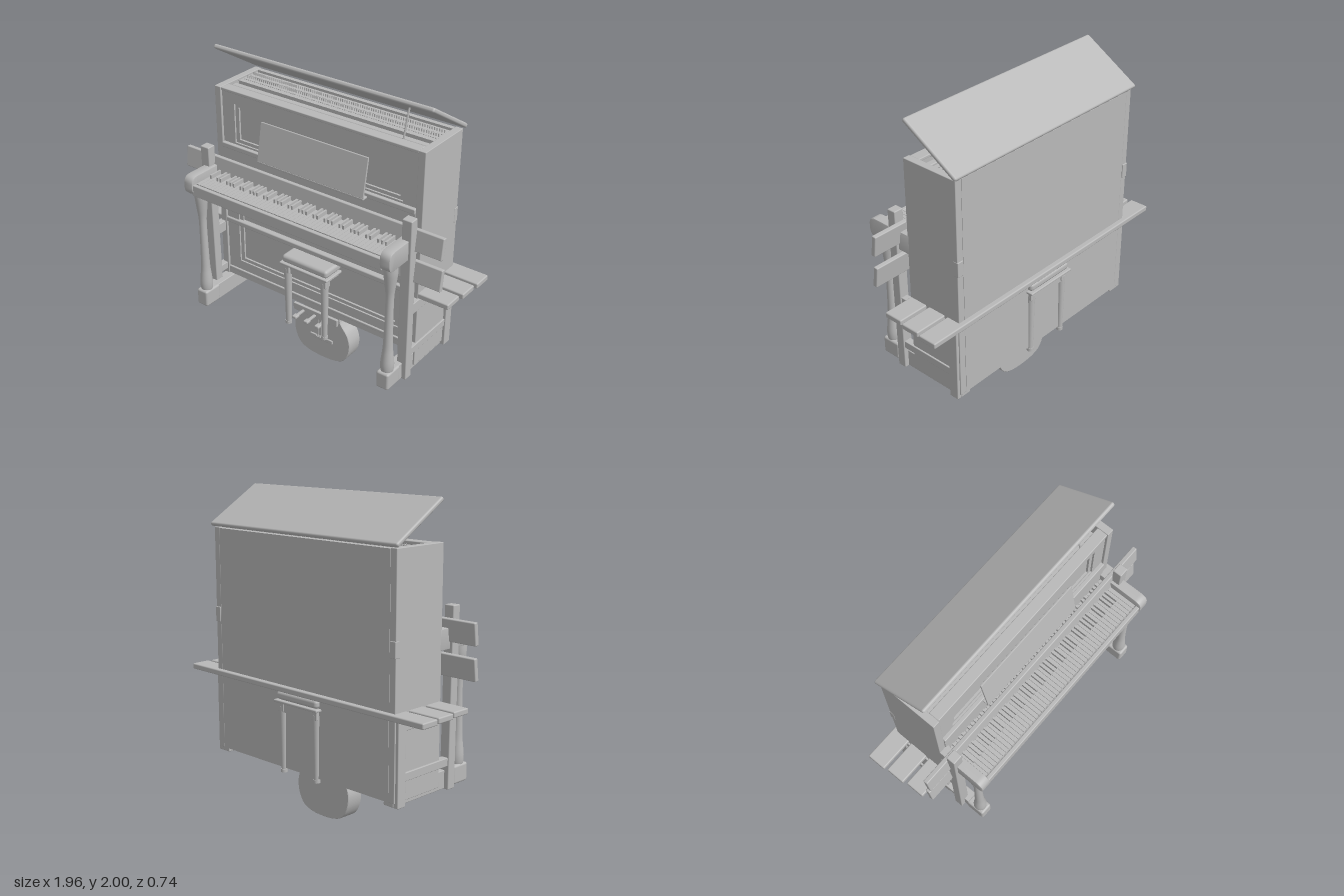
import * as THREE from 'three';
import { RoundedBoxGeometry } from 'three/addons/geometries/RoundedBoxGeometry.js';
import { toCreasedNormals } from 'three/addons/utils/BufferGeometryUtils.js';

const grey = new THREE.MeshStandardMaterial({ color: 0xb8b8b8 });
grey.name = 'plain grey';

function add(parent, name, geo, x = 0, y = 0, z = 0, rx = 0) {
  const m = new THREE.Mesh(geo, grey);
  m.name = name;
  m.position.set(x, y, z);
  m.rotation.x = rx;
  parent.add(m);
  return m;
}

// Box given by its limits; r > 0 rounds the edges
function block(parent, name, x0, x1, y0, y1, z0, z1, r = 0, rx = 0) {
  const w = x1 - x0, h = y1 - y0, d = z1 - z0;
  const geo = r ? new RoundedBoxGeometry(w, h, d, 2, r) : new THREE.BoxGeometry(w, h, d);
  return add(parent, name, geo, (x0 + x1) / 2, (y0 + y1) / 2, (z0 + z1) / 2, rx);
}

// Same block on the left and the right
function pair(parent, name, x0, x1, ...rest) {
  block(parent, name + 'Left', x0, x1, ...rest);
  block(parent, name + 'Right', -x1, -x0, ...rest);
}

// Rod between two points
function rod(parent, name, a, b, r) {
  const p = new THREE.Vector3(...a), q = new THREE.Vector3(...b);
  return add(parent, name, new THREE.TubeGeometry(new THREE.LineCurve3(p, q), 1, r, 8));
}

// Rectangular frame with a rectangular opening
function frame(parent, name, x, y0, y1, hx, hy0, hy1, z0, z1) {
  const rect = (T, a, b, c) => new T([[-a, b], [a, b], [a, c], [-a, c]].map(p => new THREE.Vector2(...p)));
  const s = rect(THREE.Shape, x, y0, y1);
  s.holes.push(rect(THREE.Path, hx, hy0, hy1));
  add(parent, name, new THREE.ExtrudeGeometry(s, { depth: z1 - z0, bevelEnabled: false }), 0, 0, z0);
}

function group(parent, name, x) {
  const g = new THREE.Group();
  g.name = name;
  g.position.x = x;
  parent.add(g);
  return g;
}

// Key arm: side profile with a round nose, extruded across
function armGeometry() {
  const s = new THREE.Shape();
  s.moveTo(0.05, 1.144);
  s.lineTo(0.325, 1.144);
  s.quadraticCurveTo(0.364, 1.144, 0.364, 1.19);
  s.lineTo(0.364, 1.21);
  s.quadraticCurveTo(0.364, 1.256, 0.318, 1.256);
  s.lineTo(0.05, 1.256);
  const geo = new THREE.ExtrudeGeometry(s, {
    depth: 0.055, bevelThickness: 0.006, bevelSize: 0.006, bevelSegments: 2, curveSegments: 10 });
  geo.translate(0, 0, -0.0275);
  geo.rotateY(-Math.PI / 2);
  return toCreasedNormals(geo, 0.6);
}

function buildPiano(root) {
  const g = group(root, 'piano', 0.004);
  // Case, open below the floor board
  pair(g, 'caseSide', 0.71, 0.756, 0.33, 1.75, -0.33, 0.055, 0.004);
  block(g, 'caseBack', -0.71, 0.71, 0.33, 1.745, -0.33, -0.3);
  block(g, 'caseFloor', -0.71, 0.71, 0.42, 0.45, -0.3, 0.03);
  block(g, 'plinthRail', -0.71, 0.71, 0.42, 0.455, 0, 0.048);
  block(g, 'plinthStrip', -0.71, 0.71, 0.455, 0.475, 0, 0.052, 0.005);
  pair(g, 'rearHandle', 0.715, 0.758, 1.155, 1.25, -0.336, -0.3, 0.004);

  // Framed front panels
  for (const [part, y0, y1, h0, h1] of [['upper', 1.36, 1.745, 1.4, 1.66], ['lower', 0.475, 1.14, 0.54, 1.03]]) {
    frame(g, part + 'PanelFrame', 0.71, y0, y1, 0.617, h0, h1, 0, 0.04);
    frame(g, part + 'PanelMoulding', 0.619, h0 - 0.002, h1 + 0.002, 0.59, h0 + 0.022, h1 - 0.022, 0, 0.029);
    block(g, part + 'Panel', -0.6, 0.6, h0, h1, 0, 0.016);
  }
  block(g, 'topFrontRail', -0.71, 0.71, 1.728, 1.748, -0.02, 0.05, 0.005);
  block(g, 'fallboard', -0.71, 0.71, 1.14, 1.37, 0, 0.06);
  block(g, 'fallboardLip', -0.71, 0.71, 1.355, 1.388, 0.02, 0.064, 0.006);

  // Music desk
  block(g, 'musicDesk', -0.39, 0.39, 1.365, 1.612, 0.072, 0.084, 0.003, -0.18);
  block(g, 'musicLedge', -0.39, 0.39, 1.355, 1.368, 0.05, 0.105, 0.004);

  // Raised lid and its prop
  add(g, 'lid', new RoundedBoxGeometry(1.548, 0.028, 0.438, 3, 0.012), 0, 1.877, -0.16, -0.55);
  rod(g, 'lidProp', [0.56, 1.72, -0.02], [0.56, 1.915, -0.073], 0.006);

  // Works under the lid
  block(g, 'pinBlock', -0.71, 0.71, 1.66, 1.737, -0.285, -0.115);
  block(g, 'worksFloor', -0.71, 0.71, 1.6, 1.65, -0.3, 0);
  block(g, 'hammerRail', -0.71, 0.71, 1.7, 1.732, -0.09, -0.05, 0.006);
  const pin = new THREE.CylinderGeometry(0.004, 0.004, 0.02, 6);
  const pins = group(g, 'tuningPins', 0);
  for (let i = 0; i < 88; i++)
    for (const [z, y] of [[-0.15, 1.732], [-0.18, 1.745], [-0.21, 1.732], [-0.24, 1.745]])
      add(pins, 'tuningPin', pin, -0.69 + i * 1.38 / 87, y, z);

  // Keyboard
  block(g, 'keybed', -0.7, 0.7, 1.14, 1.185, 0.05, 0.345);
  block(g, 'keyslip', -0.7, 0.7, 1.138, 1.212, 0.335, 0.362, 0.006);
  const arm = armGeometry();
  for (const s of [1, -1]) add(g, 'keyArm', arm, s * 0.724);
  const keys = group(g, 'keys', 0), step = 1.38 / 52;
  const white = new THREE.BoxGeometry(step - 0.002, 0.03, 0.265);
  const black = new THREE.BoxGeometry(0.012, 0.03, 0.165);
  for (let i = 0; i < 52; i++) {
    const x = -0.69 + (i + 0.5) * step;
    add(keys, 'whiteKey', white, x, 1.197, 0.198);
    if (i < 51 && ![1, 4].includes(i % 7)) add(keys, 'blackKey', black, x + step / 2, 1.222, 0.148);
  }

  // Turned legs on long toes
  const profile = [[0.036, 0.41], [0.04, 0.43], [0.041, 0.47], [0.035, 0.53], [0.029, 0.6], [0.025, 0.8],
    [0.025, 0.93], [0.032, 1.0], [0.039, 1.06], [0.042, 1.1], [0.041, 1.145]];
  const curve = new THREE.SplineCurve(profile.map(p => new THREE.Vector2(...p)));
  const legGeo = new THREE.LatheGeometry(curve.getPoints(30), 24);
  for (const s of [1, -1]) add(g, 'frontLeg', legGeo, s * 0.708, 0, 0.278);
  pair(g, 'toe', 0.665, 0.75, 0.305, 0.42, 0.2, 0.33, 0.014);
  pair(g, 'toeBeam', 0.672, 0.745, 0.305, 0.418, -0.325, 0.22, 0.005);

  // Pedals
  block(g, 'pedalPlate', -0.17, 0.175, 0.35, 0.4, 0.03, 0.05, 0.004);
  for (const x of [-0.088, 0.003, 0.09]) {
    block(g, 'pedalArm', x - 0.009, x + 0.009, 0.362, 0.376, 0.04, 0.12, 0.003);
    block(g, 'pedalTip', x - 0.017, x + 0.017, 0.36, 0.38, 0.11, 0.15, 0.007);
  }
}

function buildBench(root) {
  const g = group(root, 'bench', 0.003);
  // Seat and back slats
  [[0.98, -0.362, -0.237], [0.97, -0.218, -0.093], [0.957, -0.072, 0.053]].forEach(([x, z0, z1]) =>
    block(g, 'seatSlat', -x, x, 0.812, 0.848, z0, z1, 0.008));
  block(g, 'upperBackSlat', -0.945, 0.947, 1.182, 1.317, 0.11, 0.14, 0.006, -0.12);
  block(g, 'lowerBackSlat', -0.95, 0.95, 0.98, 1.115, 0.11, 0.14, 0.006, -0.12);
  // End frames
  pair(g, 'backPost', 0.71, 0.775, 0.303, 1.39, 0.123, 0.182, 0.006, 0.012);
  pair(g, 'benchLeg', 0.71, 0.775, 0.303, 0.812, -0.322, -0.257, 0.005);
  pair(g, 'seatRail', 0.72, 0.767, 0.74, 0.812, -0.27, 0.13, 0.004);
  pair(g, 'lowRail', 0.72, 0.767, 0.447, 0.497, -0.27, 0.13, 0.004);
}

function buildStool(root) {
  const g = group(root, 'stool', 0);
  // Padded seat and apron
  block(g, 'cushion', -0.167, 0.178, 0.762, 0.815, -0.362, 0.16, 0.02);
  block(g, 'seatBoard', -0.18, 0.188, 0.745, 0.762, -0.373, 0.168, 0.006);
  block(g, 'seatCore', -0.155, 0.165, 0.72, 0.775, -0.345, 0.145);
  block(g, 'frontApron', -0.12, 0.13, 0.685, 0.745, 0.12, 0.14);
  block(g, 'rearApron', -0.12, 0.13, 0.685, 0.745, -0.345, -0.325);
  // Tapered legs with a collar and a foot
  const leg = new THREE.CylinderGeometry(0.026, 0.018, 0.41, 16);
  const cap = new THREE.CylinderGeometry(0.021, 0.021, 0.02, 16);
  for (const x of [-0.138, 0.147]) for (const z of [-0.328, 0.133]) {
    add(g, 'stoolLeg', leg, x, 0.515, z);
    add(g, 'stoolFoot', cap, x, 0.313, z);
    block(g, 'legBlock', x - 0.024, x + 0.024, 0.69, 0.748, z - 0.024, z + 0.024, 0.004);
  }
}

function buildGuitar(root) {
  const g = group(root, 'guitar', 0.005);
  // Waisted body from a mirrored outline
  const half = [[0.09, 0.007], [0.165, 0.035], [0.208, 0.1], [0.22, 0.18], [0.2, 0.25], [0.162, 0.3],
    [0.142, 0.34], [0.152, 0.4], [0.163, 0.46], [0.14, 0.53], [0.08, 0.57]];
  const pts = [...half, [0, 0.58], ...half.map(([x, y]) => [-x, y]).reverse(), [0, 0]];
  const outline = new THREE.Shape();
  outline.moveTo(0, 0);
  outline.splineThru(pts.map(p => new THREE.Vector2(...p)));
  const body = new THREE.ExtrudeGeometry(outline, {
    depth: 0.109, curveSegments: 72, bevelThickness: 0.003, bevelSize: 0.003, bevelOffset: -0.003, bevelSegments: 1 });
  add(g, 'guitarBody', toCreasedNormals(body, 0.5), 0, 0, -0.137);
  block(g, 'guitarNeck', -0.026, 0.026, 0.45, 1.08, -0.04, -0.015, 0.006);
  // Bridge and strings
  block(g, 'bridge', -0.09, 0.09, 0.135, 0.163, -0.03, -0.016, 0.005);
  block(g, 'saddle', -0.035, 0.035, 0.15, 0.16, -0.02, -0.009);
  for (let i = 0; i < 6; i++)
    rod(g, 'string', [-0.025 + i * 0.01, 0.15, -0.012], [-0.02 + i * 0.008, 1.06, -0.01], 0.0015);
}

export function createModel() {
  const root = new THREE.Group();
  root.name = 'pianoWithBenchStoolAndGuitar';
  buildPiano(root);
  buildBench(root);
  buildStool(root);
  buildGuitar(root);
  return root;
}
